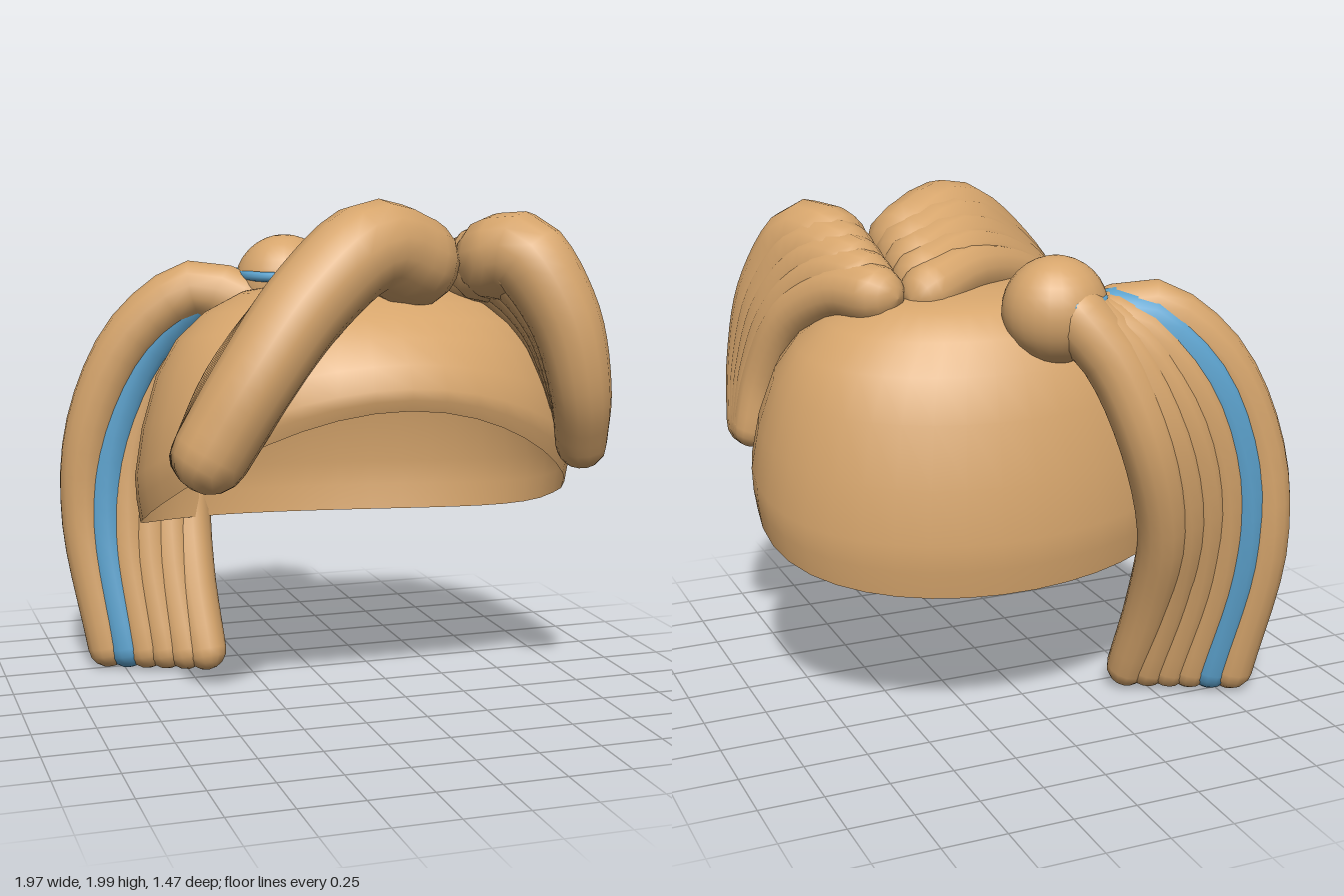
import * as THREE from 'three';

const hair = new THREE.MeshStandardMaterial({ color: 0xd6a56c });
hair.name = 'tan hair';
const hairOpen = new THREE.MeshStandardMaterial({ color: 0xd6a56c, side: THREE.DoubleSide });
hairOpen.name = 'tan hair open shell';
const blue = new THREE.MeshStandardMaterial({ color: 0x5ca2cd });
blue.name = 'blue';

// Skin a list of closed rings (arrays of Vector3) with smooth normals
function loft(rings) {
  const n = rings[0].length, pos = [], idx = [];
  rings.forEach(r => r.forEach(p => pos.push(p.x, p.y, p.z)));
  for (let i = 0; i < rings.length - 1; i++) {
    for (let j = 0; j < n; j++) {
      const k = (j + 1) % n, a = i * n + j, b = i * n + k;
      idx.push(a, b, a + n, b, b + n, a + n);
    }
  }
  const g = new THREE.BufferGeometry();
  g.setAttribute('position', new THREE.Float32BufferAttribute(pos, 3));
  g.setIndex(idx);
  g.computeVertexNormals();
  return g;
}

// Round-ended lock of hair along a path, radius running from r0 to r1
function strand(points, r0, r1, sides = 14, steps = 18) {
  const curve = new THREE.CatmullRomCurve3(points);
  const { tangents, normals, binormals } = curve.computeFrenetFrames(steps);
  const rings = [];
  const ring = (i, r, shift) => {
    const c = curve.getPointAt(i / steps).addScaledVector(tangents[i], shift);
    rings.push(Array.from({ length: sides }, (_, j) => {
      const a = j / sides * Math.PI * 2;
      return c.clone().addScaledVector(normals[i], r * Math.cos(a)).addScaledVector(binormals[i], r * Math.sin(a));
    }));
  };
  const caps = [0, 1, 2, 3].map(k => k / 4 * Math.PI / 2);
  caps.forEach(a => ring(0, r0 * Math.sin(a), -r0 * Math.cos(a)));
  for (let i = 0; i <= steps; i++) ring(i, THREE.MathUtils.lerp(r0, r1, i / steps), 0);
  caps.reverse().forEach(a => ring(steps, r1 * Math.sin(a), r1 * Math.cos(a)));
  return loft(rings);
}

// Fan of locks blended between a first and a last path
function lockFan(name, count, first, last, radFirst, radLast, blueIndex = -1) {
  const group = new THREE.Group();
  group.name = name;
  const lerp = THREE.MathUtils.lerp;
  for (let i = 0; i < count; i++) {
    const t = i / (count - 1);
    const path = first.map((p, k) => new THREE.Vector3(...p).lerp(new THREE.Vector3(...last[k]), t));
    const geo = strand(path, lerp(radFirst[0], radLast[0], t), lerp(radFirst[1], radLast[1], t));
    const mesh = new THREE.Mesh(geo, i === blueIndex ? blue : hair);
    mesh.name = i === blueIndex ? name + 'BlueLock' : name + 'Lock' + (i + 1);
    group.add(mesh);
  }
  return group;
}

// Open scalp shell: rim arched over the forehead and low at the nape, crown set slightly back
function scalpCap() {
  // height fraction, side radius, front/back radius
  const profile = [[0, 0.98, 0.97], [0.1, 0.995, 0.992], [0.2, 1, 1], [0.4, 0.965, 0.955], [0.62, 0.895, 0.86],
    [0.77, 0.8, 0.745], [0.88, 0.67, 0.62], [0.96, 0.5, 0.46], [0.99, 0.28, 0.27], [1, 0, 0]];
  const sides = 40;
  const rings = profile.map(([f, rx, rz]) => Array.from({ length: sides }, (_, j) => {
    const a = j / sides * Math.PI * 2, c = Math.cos(a), s = Math.sin(a);
    const rim = 0.755 + 0.26 * c + 0.165 * c * c + 0.06 * c ** 3 - 0.03 * s * Math.abs(c);
    return new THREE.Vector3(0.1 + 0.885 * rx * s, THREE.MathUtils.lerp(rim, 1.655, f),
      0.05 - 0.06 * f * f + 0.665 * rz * c);
  }));
  const mesh = new THREE.Mesh(loft(rings), hairOpen);
  mesh.name = 'scalpCap';
  return mesh;
}

export function createModel() {
  const model = new THREE.Group();
  model.name = 'hairstyle';
  model.add(scalpCap());

  // Swept fringe on the right, front lock to rear lock
  model.add(lockFan('rightFringe', 5,
    [[0.23, 1.755, 0.34], [0.03, 1.82, 0.44], [-0.22, 1.64, 0.51], [-0.46, 1.34, 0.56], [-0.61, 1.09, 0.54]],
    [[0.3, 1.65, -0.04], [0.1, 1.69, 0.07], [-0.25, 1.58, 0.29], [-0.51, 1.34, 0.43], [-0.65, 1.07, 0.45]],
    [0.18, 0.145], [0.115, 0.095]));

  // Shorter fringe on the left
  model.add(lockFan('leftFringe', 5,
    [[0.565, 1.765, 0.38], [0.62, 1.785, 0.48], [0.745, 1.56, 0.59], [0.82, 1.27, 0.6], [0.87, 1.05, 0.51]],
    [[0.52, 1.65, -0.02], [0.6, 1.65, 0.11], [0.74, 1.51, 0.32], [0.83, 1.25, 0.44], [0.88, 1.04, 0.46]],
    [0.165, 0.1], [0.12, 0.08]));

  // Side ponytail, outer lock to inner lock, with one blue streak
  model.add(lockFan('ponytail', 6,
    [[-0.25, 1.54, -0.37], [-0.42, 1.6, -0.445], [-0.67, 1.42, -0.53], [-0.845, 1.05, -0.585],
      [-0.885, 0.65, -0.6], [-0.81, 0.09, -0.52]],
    [[-0.12, 1.6, -0.48], [-0.23, 1.44, -0.56], [-0.345, 1.12, -0.63], [-0.44, 0.75, -0.585],
      [-0.455, 0.42, -0.465], [-0.43, 0.09, -0.34]],
    [0.125, 0.09], [0.12, 0.085], 1));

  // Bun and the blue tie that peeks out of it
  const bun = new THREE.Mesh(new THREE.SphereGeometry(0.205, 24, 16), hair);
  bun.name = 'bun';
  bun.scale.z = 0.93;
  bun.position.set(-0.07, 1.615, -0.38);
  const tie = new THREE.Mesh(new THREE.TorusGeometry(0.182, 0.02, 8, 28), blue);
  tie.name = 'hairTie';
  tie.rotation.x = Math.PI / 2;
  tie.scale.x = 0.82;
  tie.position.set(-0.105, 1.66, -0.37);
  model.add(bun, tie);
  return model;
}
